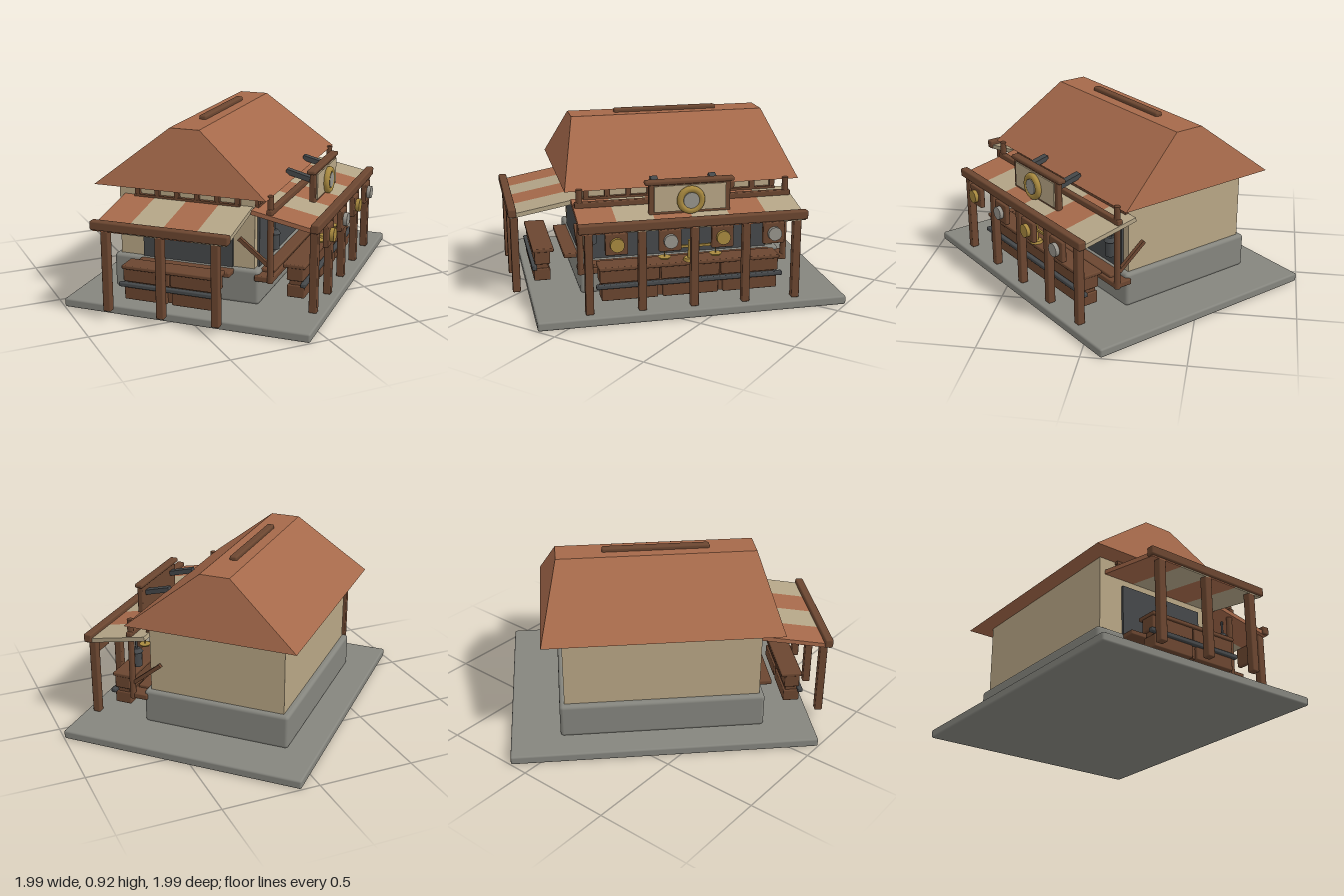
import * as THREE from 'three';
import { RoundedBoxGeometry } from 'three/addons/geometries/RoundedBoxGeometry.js';

const material = (name, color) => Object.assign(new THREE.MeshStandardMaterial({ color }), { name });

export function createModel() {
  const stone = material('stone', 0x85857e);
  const plaster = material('plaster', 0xb8a685);
  const tile = material('terracotta', 0xa5694a);
  const wood = material('wood', 0x6b4630);
  const slate = material('slate', 0x45484a);
  const gold = material('gold', 0xa8893f);
  const cream = material('cream', 0xb3a486);
  const silver = material('silver', 0x97948c);

  const model = new THREE.Group();
  model.name = 'marketHouse';
  // The whole building stands turned by an eighth of a circle
  const house = new THREE.Group();
  house.name = 'house';
  house.rotation.y = Math.PI / 4;
  model.add(house);

  const add = (name, geometry, mat, x, y, z, parent = house) => {
    const mesh = new THREE.Mesh(geometry, mat);
    mesh.name = name;
    mesh.position.set(x, y, z);
    parent.add(mesh);
    return mesh;
  };
  // Box given by its ranges, with softly rounded edges when r > 0
  const box = (name, mat, [x0, x1], [y0, y1], [z0, z1], parent = house, r = 0.006) => {
    const size = [x1 - x0, y1 - y0, z1 - z0];
    const geometry = r ? new RoundedBoxGeometry(...size, 2, r) : new THREE.BoxGeometry(...size);
    return add(name, geometry, mat, (x0 + x1) / 2, (y0 + y1) / 2, (z0 + z1) / 2, parent);
  };
  // Square bar between two points that share the same x
  const bar = (name, mat, x, [y0, z0], [y1, z1], w, h, parent = house) => {
    const length = Math.hypot(y1 - y0, z1 - z0);
    const mesh = add(name, new THREE.BoxGeometry(w, h, length), mat, x, (y0 + y1) / 2, (z0 + z1) / 2, parent);
    mesh.rotation.x = -Math.atan2(y1 - y0, z1 - z0);
    return mesh;
  };
  // Disc facing +z
  const disc = (name, mat, r, depth, x, y, z, parent = house) => {
    const mesh = add(name, new THREE.CylinderGeometry(r, r, depth, 20), mat, x, y, z, parent);
    mesh.rotation.x = Math.PI / 2;
    return mesh;
  };

  // Ground slab, plinth and walls
  box('groundSlab', stone, [-0.778, 0.778], [0, 0.045], [-0.637, 0.637], house, 0.01);
  box('plinth', stone, [-0.525, 0.525], [0.04, 0.22], [-0.48, 0.3], house, 0.018);
  box('walls', plaster, [-0.5, 0.5], [0.2, 0.605], [-0.45, 0.27], house, 0);

  // Flat-topped hipped roof
  const roof = new THREE.BoxGeometry(1.2, 0.295, 0.9);
  const p = roof.attributes.position;
  for (let i = 0; i < p.count; i++) {
    if (p.getY(i) > 0) p.setXYZ(i, Math.sign(p.getX(i)) * 0.51, p.getY(i), Math.sign(p.getZ(i)) * 0.078);
  }
  roof.computeVertexNormals();
  add('roof', roof, tile, 0, 0.7475, -0.09);
  box('ridgeBeam', wood, [-0.275, 0.275], [0.885, 0.915], [-0.11, -0.07], house, 0.01);

  // A shop side: facing +z of its group, with the wall at z = 0
  function shopSide(name, half, reach, stripes, postXs, counterHalf, counterZ) {
    const side = new THREE.Group();
    side.name = name;
    house.add(side);
    const wallHalf = half - 0.06;

    // Shutter panel, sill and clerestory lattice
    box('shutterPanel', slate, [-wallHalf + 0.04, wallHalf - 0.04], [0.22, 0.48], [0, 0.012], side, 0);
    box('sill', wood, [-wallHalf + 0.03, wallHalf - 0.03], [0.19, 0.215], [0, 0.09], side);
    for (const y of [0.53, 0.585]) {
      box('latticeRail', wood, [-wallHalf, wallHalf], [y, y + 0.016], [0, 0.02], side, 0);
    }
    const count = Math.round((wallHalf * 2) / 0.115);
    for (let i = 0; i <= count; i++) {
      const x = -wallHalf + 0.015 + (i * (wallHalf * 2 - 0.03)) / count;
      box('latticePost', wood, [x - 0.013, x + 0.013], [0.53, 0.6], [0, 0.018], side, 0);
    }

    // Striped awning with its edge beam and posts
    const w = (half * 2) / stripes;
    for (let i = 0; i < stripes; i++) {
      bar('awningStripe', i % 2 ? cream : tile, -half + w * (i + 0.5), [0.527, 0], [0.462, reach + 0.012], w, 0.022, side);
    }
    box('awningBeam', wood, [-half - 0.01, half + 0.01], [0.457, 0.502], [reach - 0.02, reach + 0.022], side, 0.008);
    for (const x of postXs) {
      box('awningPost', wood, [x - 0.02, x + 0.02], [0.045, 0.465], [reach - 0.03, reach + 0.01], side);
    }

    // Counter made of crates, with a slate rail
    const [z0, z1] = counterZ;
    const crates = Math.round(counterHalf / 0.15);
    const cw = (counterHalf * 2) / crates;
    for (let i = 0; i < crates; i++) {
      const x = -counterHalf + i * cw;
      box('crate', wood, [x + 0.012, x + cw - 0.012], [0.075, 0.14], [z0, z1 - 0.005], side);
      box('crateTop', wood, [x + 0.004, x + cw - 0.004], [0.165, 0.235], [z0, z1 - 0.01], side);
    }
    box('counterCore', wood, [-counterHalf + 0.02, counterHalf - 0.02], [0.08, 0.22], [z0 + 0.01, z1 - 0.02], side, 0);
    box('counterTop', wood, [-counterHalf, counterHalf], [0.23, 0.25], [z0 - 0.02, z1], side);
    box('counterRail', slate, [-counterHalf - 0.015, counterHalf + 0.015], [0.14, 0.162], [z1 - 0.02, z1 + 0.006], side);
    return side;
  }

  const front = shopSide('mainShopSide', 0.56, 0.318, 6, [-0.52, -0.26, 0, 0.26, 0.52], 0.46, [0.15, 0.245]);
  front.position.z = 0.27;
  const flank = shopSide('sideShop', 0.34, 0.35, 4, [-0.28, 0, 0.28], 0.25, [0.16, 0.25]);
  flank.position.set(-0.5, 0, -0.08);
  flank.rotation.y = -Math.PI / 2;

  // Inner frame of the main shop side, with hanging lamps
  box('frameBar', wood, [-0.555, 0.555], [0.515, 0.545], [0.345, 0.375]);
  box('frameSill', wood, [-0.54, 0.54], [0.17, 0.2], [0.28, 0.375]);
  for (const s of [-1, 1]) {
    add('framePole', new THREE.CylinderGeometry(0.016, 0.016, 0.44, 12), wood, s * 0.53, 0.39, 0.36);
    bar('frameBrace', wood, s * 0.53, [0.26, 0.35], [0.38, 0.2], 0.02, 0.02);
    add('lampBody', new THREE.CylinderGeometry(0.028, 0.028, 0.08, 12), slate, s * 0.475, 0.37, 0.36);
    add('lampCap', new THREE.CylinderGeometry(0.018, 0.034, 0.02, 12), slate, s * 0.475, 0.418, 0.36);
    add('lampRod', new THREE.CylinderGeometry(0.006, 0.006, 0.1, 8), slate, s * 0.475, 0.47, 0.36);
  }

  // Sign board with a round emblem and brackets
  box('signBoard', wood, [-0.205, 0.205], [0.485, 0.655], [0.455, 0.485]);
  box('signPanel', plaster, [-0.18, 0.18], [0.508, 0.638], [0.484, 0.492], house, 0);
  box('signCap', wood, [-0.225, 0.225], [0.642, 0.665], [0.445, 0.49], house, 0.009);
  disc('emblemDisc', silver, 0.04, 0.03, 0, 0.565, 0.502);
  add('emblemRing', new THREE.TorusGeometry(0.054, 0.017, 10, 28), gold, 0, 0.565, 0.502);
  for (const x of [-0.15, 0.15]) bar('signBracket', slate, x, [0.635, 0.32], [0.6, 0.455], 0.036, 0.026);

  // Hanging plaques below the awning beam
  [-0.39, -0.13, 0.13, 0.39].forEach((x, i) => {
    box('plaque', wood, [x - 0.055, x + 0.055], [0.35, 0.458], [0.595, 0.622]);
    disc('plaqueDisc', i % 2 ? silver : gold, 0.034, 0.024, x, 0.404, 0.63);
  });

  // Balance scale on the counter
  add('scaleStand', new THREE.CylinderGeometry(0.012, 0.012, 0.13, 12), gold, 0, 0.29, 0.49);
  add('scaleFoot', new THREE.CylinderGeometry(0.03, 0.035, 0.015, 16), gold, 0, 0.256, 0.49);
  box('scaleArm', gold, [-0.14, 0.14], [0.318, 0.33], [0.484, 0.496], house, 0);
  for (const s of [-1, 1]) {
    add('scaleHanger', new THREE.CylinderGeometry(0.003, 0.003, 0.05, 6), gold, s * 0.13, 0.298, 0.49);
    add('scalePan', new THREE.CylinderGeometry(0.032, 0.022, 0.012, 16), gold, s * 0.13, 0.272, 0.49);
  }
  return model;
}
